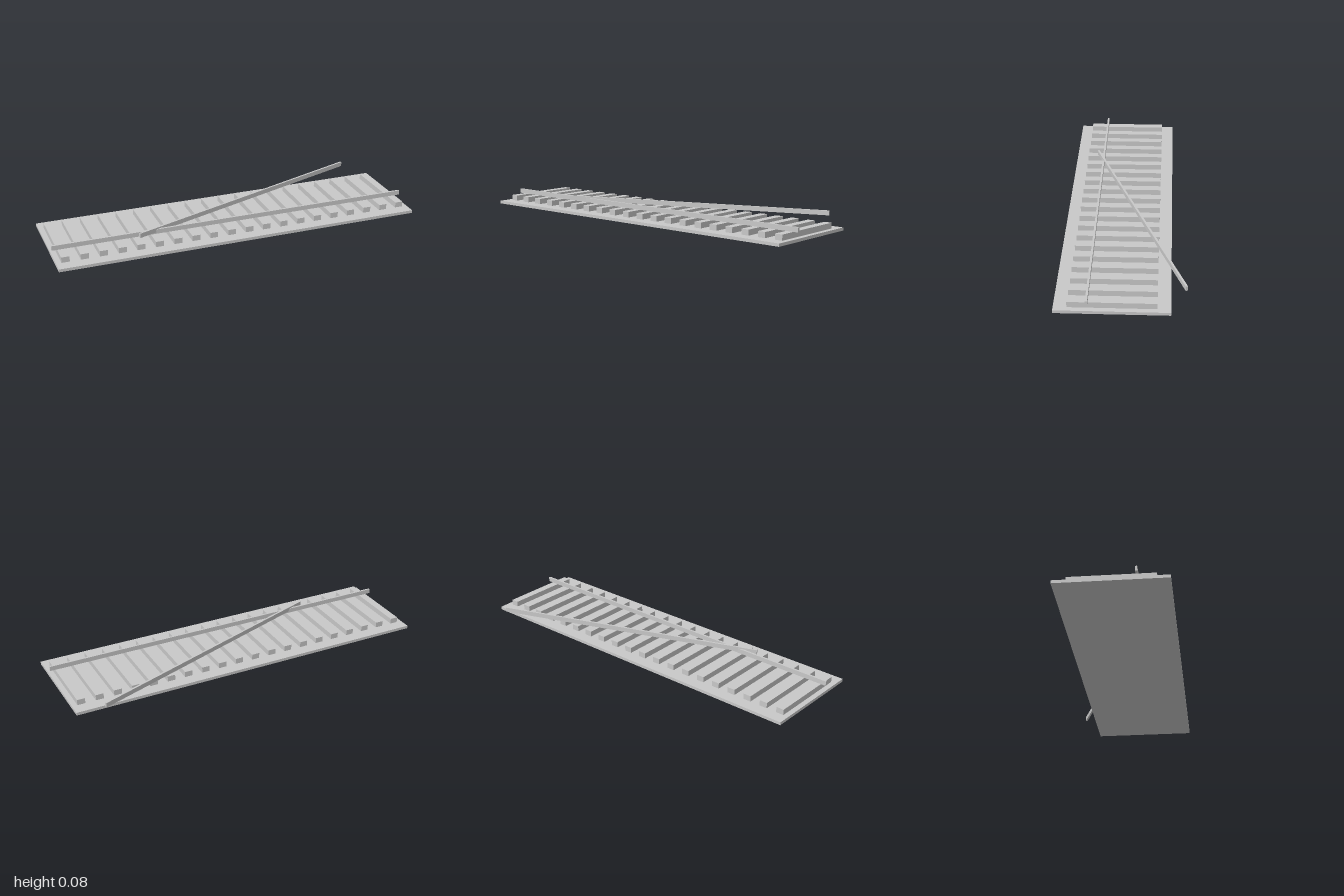
import * as THREE from 'three';

export function createModel() {
  const model = new THREE.Group();
  model.name = 'railTrack';
  const grey = new THREE.MeshStandardMaterial({ color: 0xc8c8c8 });
  grey.name = 'plain grey';

  // Box given by its size, centre (x, z) and bottom height
  function block(name, [w, h, d], x, bottom, z) {
    const mesh = new THREE.Mesh(new THREE.BoxGeometry(w, h, d), grey);
    mesh.name = name;
    mesh.position.set(x, bottom + h / 2, z);
    model.add(mesh);
    return mesh;
  }

  // Ground slab
  block('trackBed', [2, 0.016, 0.566], 0, 0, 0.04);

  // Row of cross ties
  for (let i = 0; i < 20; i++) {
    block(`tie${i + 1}`, [0.043, 0.03, 0.434], -0.95 + i * 0.1, 0.016, 0.04);
  }

  // Rail along the ties
  block('straightRail', [2, 0.025, 0.011], 0, 0.0465, 0.161);

  // Loose rail lying slantwise, slightly higher
  const slanted = block('slantedRail', [1.5, 0.025, 0.011], 0.164, 0.0547, -0.06);
  slanted.rotation.y = THREE.MathUtils.degToRad(20);

  return model;
}
